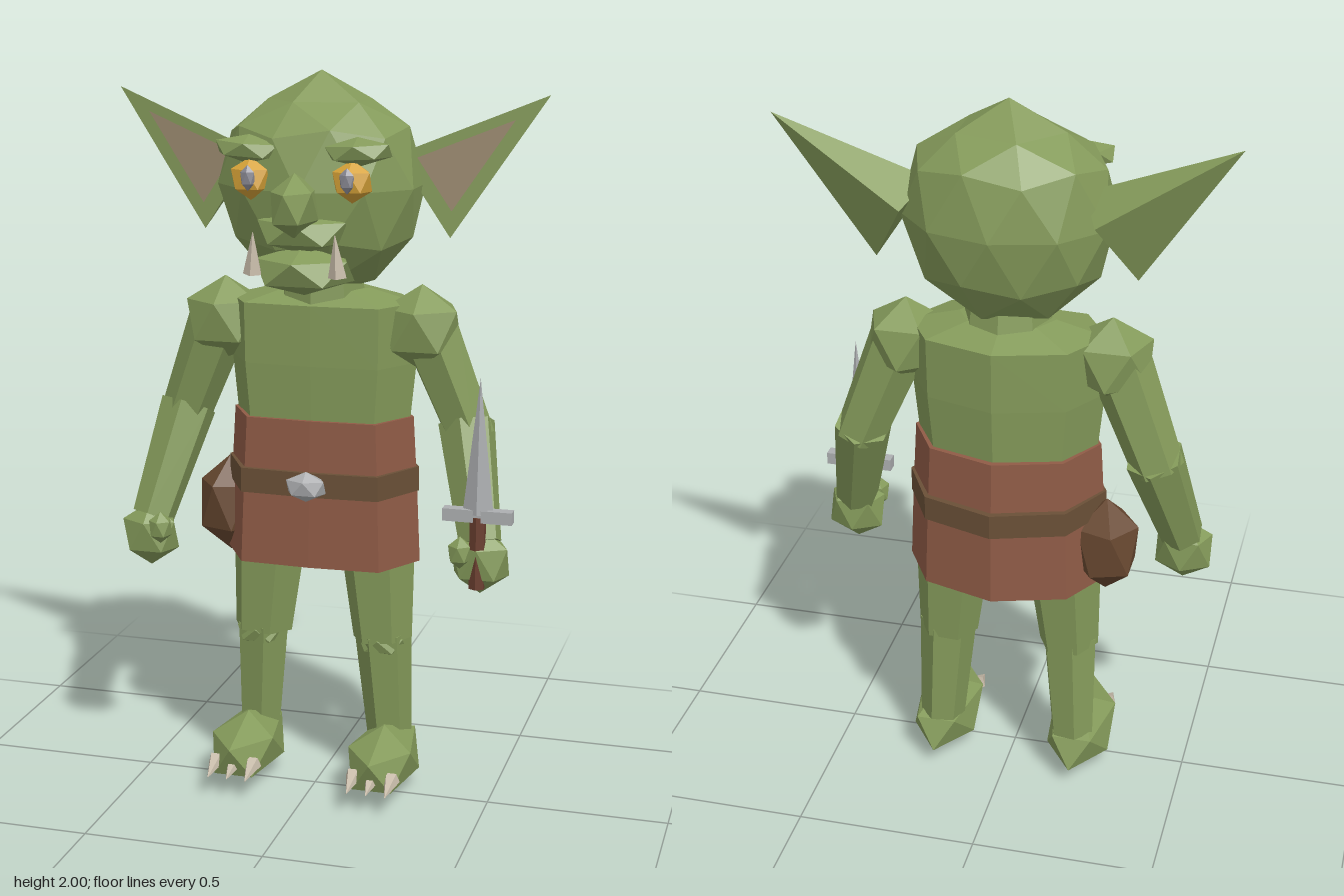
import * as THREE from 'three';

const paint = (name, color) => {
  const m = new THREE.MeshStandardMaterial({ color, flatShading: true });
  m.name = name;
  return m;
};

export function createModel() {
  const skin = paint('green skin', 0x849a5a);
  const cloth = paint('red brown cloth', 0x8f5b46);
  const leather = paint('belt leather', 0x6a5037);
  const pouchHide = paint('pouch hide', 0x684830);
  const innerEarSkin = paint('inner ear', 0x9a896f);
  const gold = paint('gold eye', 0xd6a238);
  const pupilGrey = paint('pupil', 0x8a8a94);
  const steel = paint('steel', 0xacaeb0);
  const bone = paint('bone', 0xc8bcaa);
  const wood = paint('grip', 0x6b3f30);
  innerEarSkin.side = THREE.DoubleSide;

  const model = new THREE.Group();
  const add = (name, geo, mat, parent = model) => {
    const mesh = new THREE.Mesh(geo, mat);
    mesh.name = name;
    parent.add(mesh);
    return mesh;
  };

  // Faceted ball standing on a corner
  const ball = (detail = 0) => new THREE.IcosahedronGeometry(1, detail)
    .rotateX(-Math.atan2(1 + Math.sqrt(5), 2));

  // Ball stretched to the radii r and placed at p
  const blob = (name, mat, p, r, { yaw = 0, roll = 0 } = {}) =>
    add(name, ball().rotateY(yaw).scale(...r).rotateZ(roll).translate(...p), mat);

  // Tapered limb or spike from a to b
  const limb = (name, mat, a, b, ra, rb, sides = 6) => {
    const A = new THREE.Vector3(...a), B = new THREE.Vector3(...b);
    const dir = B.clone().sub(A);
    const geo = new THREE.CylinderGeometry(rb, ra, dir.length(), sides);
    const mesh = add(name, geo, mat);
    mesh.position.copy(A).add(B).multiplyScalar(0.5);
    mesh.quaternion.setFromUnitVectors(new THREE.Vector3(0, 1, 0), dir.normalize());
    return mesh;
  };

  // Eight-sided body section with a flat front; profile is [radius, y]
  const bodyRing = (name, mat, profile, depth = 0.72) => {
    const geo = new THREE.LatheGeometry(profile.map(([r, y]) => new THREE.Vector2(r, y)), 8);
    const pos = geo.attributes.position;
    for (let i = 0; i < pos.count; i++) {
      const z = Math.min(pos.getZ(i), Math.hypot(pos.getX(i), pos.getZ(i)) * 0.75);
      pos.setZ(i, z * depth - 0.085);
    }
    return add(name, geo, mat);
  };

  const triangles = (corners, faces) => {
    const geo = new THREE.BufferGeometry();
    geo.setAttribute('position', new THREE.Float32BufferAttribute(
      faces.flatMap((f) => f.flatMap((i) => corners[i])), 3));
    geo.computeVertexNormals();
    return geo;
  };

  // Body
  bodyRing('torso', skin, [[0.245, 1.05], [0.262, 1.22], [0.265, 1.385], [0.13, 1.42], [0, 1.42]], 0.68);
  bodyRing('tunic', cloth, [[0, 0.66], [0.278, 0.66], [0.268, 0.87], [0.256, 1.07], [0, 1.07]]);
  bodyRing('belt', leather, [[0.25, 0.862], [0.273, 0.862], [0.273, 0.93], [0.25, 0.93]], 0.77);
  blob('buckle', steel, [0, 0.897, 0.09], [0.062, 0.042, 0.04]);
  blob('pouch', pouchHide, [-0.28, 0.78, -0.11], [0.098, 0.14, 0.1], { yaw: -Math.PI / 2 });
  limb('neck', skin, [0, 1.36, -0.08], [0, 1.48, -0.07], 0.125, 0.11, 8);

  // Skull: subdivided ball whose upper ring is lowered into a pointed crown
  const skull = ball(1).rotateY(-Math.PI / 2);
  const pos = skull.attributes.position;
  for (let i = 0; i < pos.count; i++) {
    const y = pos.getY(i);
    if (y > 0.8 && y < 0.95) pos.setY(i, y * 0.87);
  }
  skull.scale(0.283, 0.3, 0.23).translate(0, 1.7, -0.065);
  add('head', skull, skin);

  // Face
  blob('nose', skin, [0, 1.67, 0.19], [0.064, 0.085, 0.116]);
  blob('upperLip', skin, [0, 1.595, 0.095], [0.14, 0.062, 0.13]);
  blob('lowerJaw', skin, [0, 1.492, 0.1], [0.148, 0.068, 0.14]);

  for (const s of [-1, 1]) {
    blob('eye', gold, [s * 0.137, 1.73, 0.13], [0.058, 0.056, 0.05]);
    blob('pupil', pupilGrey, [s * 0.133, 1.735, 0.168], [0.022, 0.034, 0.014]);
    blob('brow', skin, [s * 0.148, 1.805, 0.112], [0.1, 0.038, 0.06], { roll: s * 0.06 });
    limb('tusk', bone, [s * 0.115, 1.49, 0.185], [s * 0.11, 1.6, 0.2], 0.026, 0.001, 5);

    // Ear as a thin pyramid: tip, inner top, lobe, back ridge
    const ear = [[s * 0.6, 1.94, -0.14], [s * 0.2, 1.78, -0.09],
      [s * 0.345, 1.56, -0.105], [s * 0.25, 1.73, -0.208]];
    const order = (f) => (s < 0 ? [f[0], f[2], f[1]] : f);
    add('ear', triangles(ear, [[0, 1, 2], [0, 3, 1], [0, 2, 3], [1, 3, 2]].map(order)), skin);
    // Inner ear: the front face shrunk toward its middle and lifted slightly
    const mid = [0, 1, 2].map((k) => (ear[0][k] + ear[1][k] + ear[2][k]) / 3);
    const inner = ear.slice(0, 3).map((c) => c.map((v, k) =>
      mid[k] + (v - mid[k]) * 0.64 + [-s * 0.01, 0, 0.006][k]));
    add('innerEar', triangles(inner, [order([0, 1, 2])]), innerEarSkin);

    // Arm
    blob('shoulder', skin, [s * 0.278, 1.32, -0.075], [0.12, 0.118, 0.118]);
    limb('upperArm', skin, [s * 0.3, 1.31, -0.08], [s * 0.415, 1.02, -0.1], 0.085, 0.07);
    limb('forearm', skin, [s * 0.4, 1.06, -0.1], [s * 0.468, 0.76, 0.02], 0.08, 0.06);
    blob('hand', skin, [s * 0.472, 0.712, 0.03], [0.089, 0.092, 0.068]);
    blob('thumb', skin, [s * 0.425, 0.745, 0.08], [0.035, 0.045, 0.038]);

    // Leg
    limb('thigh', skin, [s * 0.155, 0.72, -0.085], [s * 0.175, 0.43, -0.08], 0.108, 0.084);
    limb('shin', skin, [s * 0.176, 0.45, -0.08], [s * 0.192, 0.14, -0.1], 0.08, 0.063);
    blob('knee', skin, [s * 0.178, 0.42, -0.06], [0.075, 0.04, 0.062]);
    blob('foot', skin, [s * 0.2, 0.097, -0.007], [0.105, 0.097, 0.2]);
    for (const t of [-0.054, 0, 0.054]) {
      limb('toeClaw', bone, [s * 0.2 + t, 0.09, 0.12], [s * 0.2 + t, 0.067, 0.2], 0.024, 0.001, 5);
    }
  }

  // Dagger in the left hand
  const dagger = new THREE.Group();
  dagger.name = 'dagger';
  dagger.position.set(0.47, 0, 0.066);
  model.add(dagger);
  const blade = new THREE.ConeGeometry(0.042, 0.37, 4);
  blade.scale(1, 1, 0.55).translate(0, 1.037, 0);
  add('blade', blade, steel, dagger);
  add('guard', new THREE.BoxGeometry(0.188, 0.034, 0.034).translate(0, 0.848, 0), steel, dagger);
  add('grip', new THREE.CylinderGeometry(0.023, 0.023, 0.2, 6).translate(0, 0.745, 0), wood, dagger);

  return model;
}
